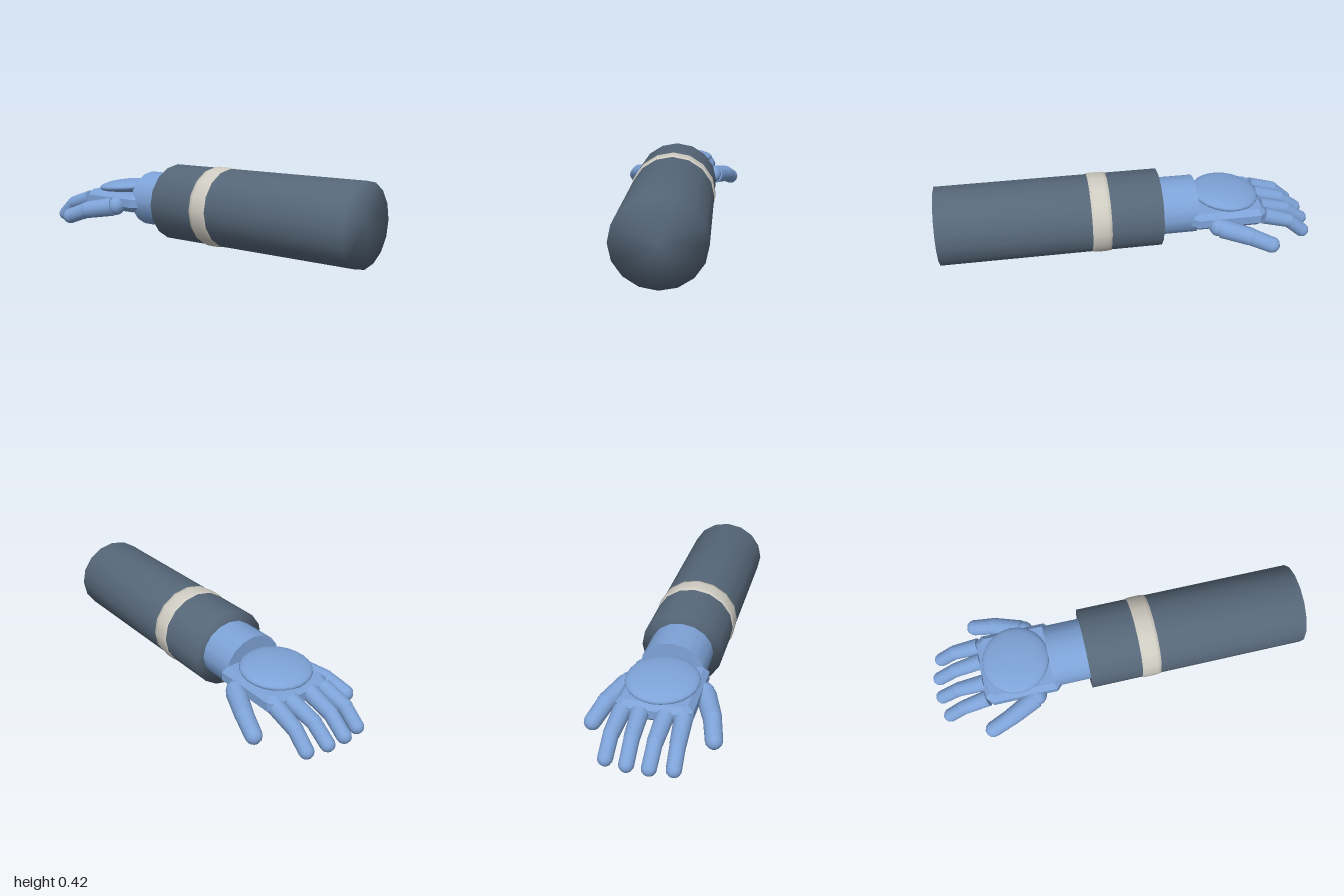
import * as THREE from 'three';
import { mergeVertices } from 'three/addons/utils/BufferGeometryUtils.js';

export function createModel() {
  const model = new THREE.Group();
  const mat = (name, color) => {
    const m = new THREE.MeshStandardMaterial({ color });
    m.name = name;
    return m;
  };
  const blue = mat('glove blue', 0x7ea3d8);
  const slate = mat('sleeve slate', 0x566779);
  const cream = mat('band cream', 0xcfccc2);

  const add = (parent, name, geometry, material) => {
    const mesh = new THREE.Mesh(geometry, material);
    mesh.name = name;
    parent.add(mesh);
    return mesh;
  };

  // Oval tube lying along z
  const ovalTube = (rx, ry, z0, z1, y) =>
    new THREE.CylinderGeometry(1, 1, z1 - z0, 16)
      .rotateX(Math.PI / 2)
      .scale(rx, ry, 1)
      .translate(0, y, (z0 + z1) / 2);

  // Sleeve, with normals shared softly across the end edges
  let sleeve = ovalTube(0.215, 0.206, -0.165, 1, 0.212);
  sleeve.deleteAttribute('normal');
  sleeve.deleteAttribute('uv');
  sleeve = mergeVertices(sleeve);
  sleeve.computeVertexNormals();
  add(model, 'sleeve', sleeve, slate);

  // Rounded band around the sleeve
  const bandProfile = [[0.93, -0.052], [0.985, -0.05], [0.998, -0.03], [1, 0],
    [0.998, 0.03], [0.985, 0.05], [0.93, 0.052]].map(p => new THREE.Vector2(...p));
  add(model, 'sleeveBand', new THREE.LatheGeometry(bandProfile, 16)
    .rotateX(Math.PI / 2).scale(0.221, 0.212, 1).translate(0, 0.2125, 0.158), cream);

  // Wrist
  add(model, 'wrist', ovalTube(0.166, 0.15, -0.36, -0.15, 0.215), blue);

  // Palm: chamfered slab
  const palmOutline = new THREE.Shape([
    [-0.14, 0.34], [0.14, 0.34], [0.162, 0.362], [0.162, 0.68],
    [0.142, 0.7], [-0.142, 0.7], [-0.162, 0.68], [-0.162, 0.362],
  ].map(p => new THREE.Vector2(...p)));
  add(model, 'palm', new THREE.ExtrudeGeometry(palmOutline, {
    depth: 0.045, bevelThickness: 0.028, bevelSize: 0.027, bevelSegments: 1,
  }).rotateX(-Math.PI / 2).translate(0, 0.178, 0), blue);

  // Padded back of the hand
  const pad = add(model, 'handBack', new THREE.SphereGeometry(1, 24, 16)
    .scale(0.183, 0.042, 0.178), blue);
  pad.position.set(0, 0.27, -0.533);
  pad.rotation.x = -0.08;

  // Tapered limb between two points
  const up = new THREE.Vector3(0, 1, 0);
  const bone = (parent, name, a, b, ra, rb) => {
    const dir = b.clone().sub(a);
    const mesh = add(parent, name, new THREE.CylinderGeometry(rb, ra, dir.length(), 12), blue);
    mesh.position.copy(a).add(b).multiplyScalar(0.5);
    mesh.quaternion.setFromUnitVectors(up, dir.normalize());
  };

  // Jointed digit: two segments, a knuckle and a rounded tip
  const digit = (name, points, radii) => {
    const group = new THREE.Group();
    group.name = name;
    const [a, b, c] = points.map(p => new THREE.Vector3(...p));
    const [ra, rb, rc] = radii;
    bone(group, 'lowerSegment', a, b, ra, rb);
    bone(group, 'upperSegment', b, c, rb * 0.97, rc);
    add(group, 'knuckle', new THREE.SphereGeometry(rb, 12, 8), blue).position.copy(b);
    add(group, 'fingertip', new THREE.SphereGeometry(rc, 12, 8), blue).position.copy(c);
    model.add(group);
    return group;
  };

  for (const s of [-1, 1]) {
    const side = s > 0 ? 'left' : 'right';
    digit(side + 'InnerFinger',
      [[s * 0.061, 0.2, -0.715], [s * 0.055, 0.162, -0.865], [s * 0.053, 0.09, -0.962]],
      [0.045, 0.039, 0.037]);
    digit(side + 'OuterFinger',
      [[s * 0.148, 0.196, -0.715], [s * 0.158, 0.156, -0.855], [s * 0.161, 0.084, -0.938]],
      [0.045, 0.039, 0.037]);
    const thumb = digit(side + 'Thumb',
      [[s * 0.2, 0.175, -0.475], [s * 0.263, 0.15, -0.615], [s * 0.296, 0.108, -0.726]],
      [0.052, 0.047, 0.043]);
    add(thumb, 'thumbBase', new THREE.SphereGeometry(0.05, 12, 8), blue)
      .position.set(s * 0.19, 0.178, -0.46);
  }

  return model;
}
